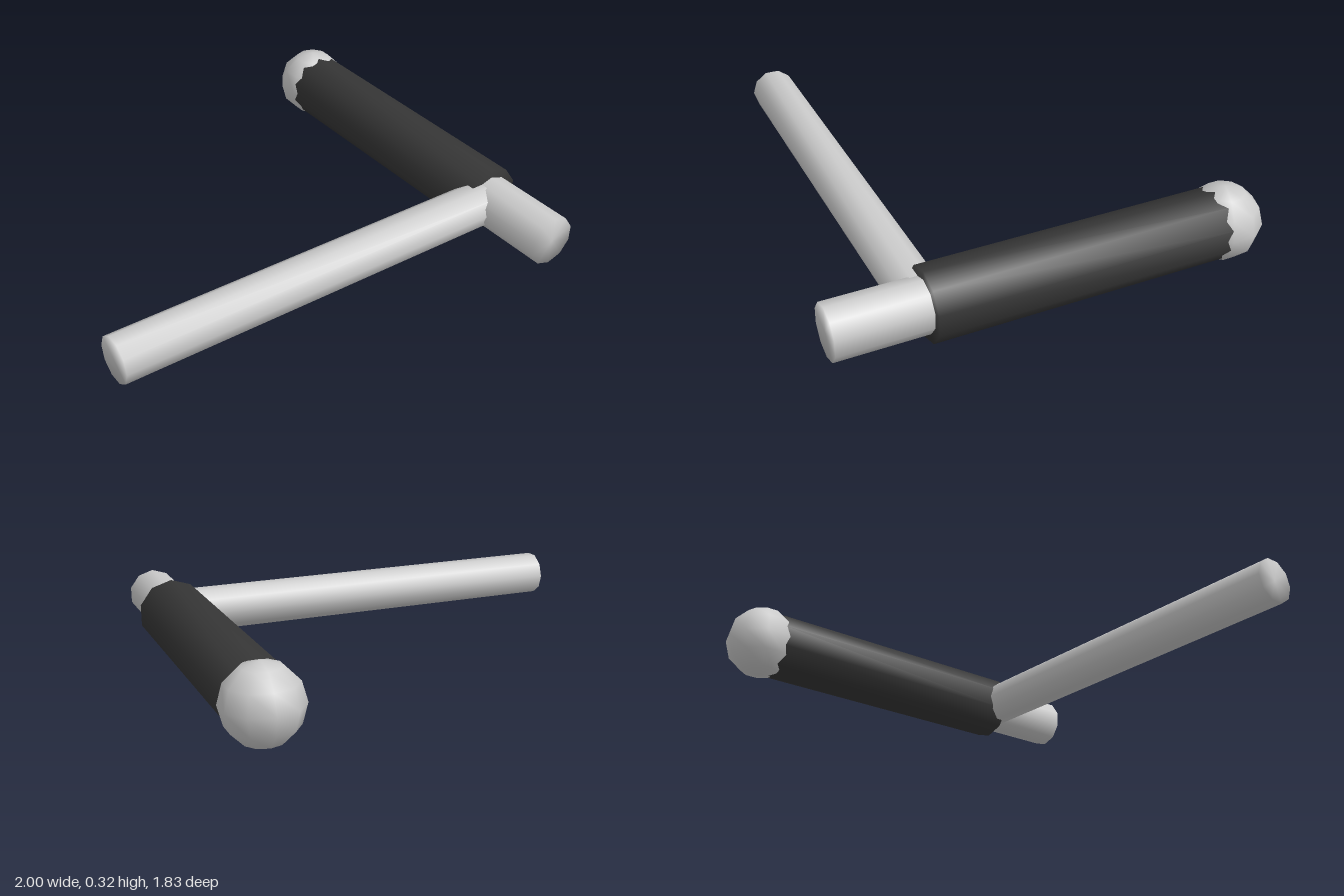
import * as THREE from 'three';
import { mergeVertices } from 'three/addons/utils/BufferGeometryUtils.js';

const AXIS_X = 0.845, AXIS_Y = 0.162, BAR_Z = 0.54;

// Weld the seams and rims so the shading flows over every edge
function soften(geometry) {
  geometry.deleteAttribute('uv');
  geometry.deleteAttribute('normal');
  const welded = mergeVertices(geometry, 1e-4);
  welded.computeVertexNormals();
  return welded;
}

// Ten-sided rod from start to end along its axis
const rod = (radius, start, end) =>
  new THREE.CylinderGeometry(radius, radius, end - start, 10).translate(0, (start + end) / 2, 0);

export function createModel() {
  const group = new THREE.Group();
  const grey = new THREE.MeshStandardMaterial({ color: 0xcccccc });
  const dark = new THREE.MeshStandardMaterial({ color: 0x363636 });

  const add = (name, geometry, material, x, y, z) => {
    const mesh = new THREE.Mesh(soften(geometry), material);
    mesh.name = name;
    mesh.position.set(x, y, z);
    group.add(mesh);
  };

  // Handle: inner shaft, dark sleeve over it and a ball at the back
  add('shaft', rod(0.11, -0.75, 0.915).rotateX(Math.PI / 2), grey, AXIS_X, AXIS_Y, 0);
  add('gripSleeve', rod(0.147, -0.74, 0.54).rotateX(Math.PI / 2), dark, AXIS_X, AXIS_Y, 0);
  add('endBall', new THREE.SphereGeometry(0.16, 10, 6).rotateY(Math.PI / 2), grey, AXIS_X, AXIS_Y, -0.755);

  // Side bar meeting the shaft at the front of the sleeve
  add('crossBar', rod(0.098, -AXIS_X, 1).rotateZ(Math.PI / 2), grey, 0, AXIS_Y, BAR_Z);

  return group;
}
